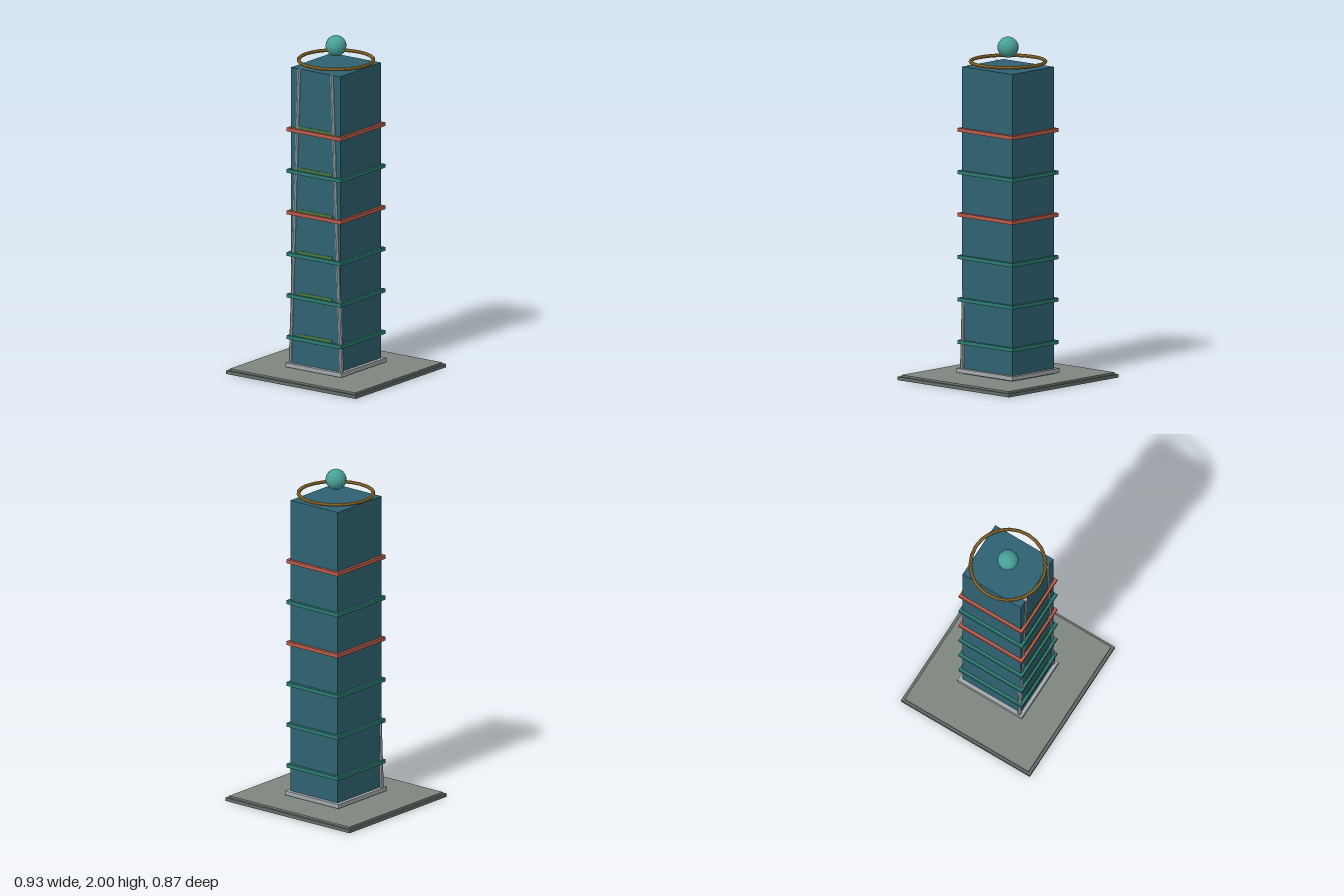
import * as THREE from 'three';

export function createModel() {
  const model = new THREE.Group();
  const mat = (color) => new THREE.MeshStandardMaterial({ color, flatShading: true });
  const stone = mat(0x7f8680), darkStone = mat(0x646c68), metal = mat(0xa3a8aa);
  const glass = mat(0x2f6272), teal = mat(0x2a7a70), red = mat(0xb85a48);
  const green = mat(0x4a7c40), gold = mat(0xa57d35), orb = mat(0x48a097);

  const add = (name, geometry, material, x, y, z) => {
    const mesh = new THREE.Mesh(geometry, material);
    mesh.name = name;
    mesh.position.set(x, y, z);
    model.add(mesh);
    return mesh;
  };
  // Box centred in plan at z, spanning heights y0 to y1
  const box = (name, w, d, y0, y1, material, z = 0) =>
    add(name, new THREE.BoxGeometry(w, y1 - y0, d), material, 0, (y0 + y1) / 2, z);

  // Stepped ground slab, plinth and shaft
  box('baseSlab', 0.93, 0.874, 0, 0.02, darkStone);
  box('pavement', 0.9, 0.84, 0.02, 0.03, stone);
  box('plinth', 0.4, 0.438, 0.037, 0.062, metal);
  box('towerShaft', 0.354, 0.394, 0.03, 1.824, glass);

  // Floor bands, each with a planted strip on the front
  for (let i = 0; i < 6; i++) {
    const y = 0.215 + i * 0.248;
    box('floorBand', 0.388, 0.43, y - 0.011, y + 0.011, i === 3 || i === 5 ? red : teal);
    box('planterStrip', 0.24, 0.012, y + 0.008, y + 0.027, green, 0.195);
  }

  // Slender ribs leaning inward up the front
  const up = new THREE.Vector3(0, 1, 0);
  for (const side of [-1, 1]) {
    const foot = new THREE.Vector3(side * 0.183, 0.035, 0.192);
    const head = new THREE.Vector3(side * 0.117, 1.826, 0.192);
    const dir = head.clone().sub(foot);
    const mid = foot.clone().add(head).multiplyScalar(0.5);
    const rib = add('frontRib', new THREE.CylinderGeometry(0.012, 0.012, dir.length(), 8), metal, mid.x, mid.y, mid.z);
    rib.quaternion.setFromUnitVectors(up, dir.normalize());
  }

  // Floating halo ring and orb above the roof
  const ring = add('haloRing', new THREE.TorusGeometry(0.217, 0.0105, 8, 24), gold, 0, 1.855, 0);
  ring.rotation.x = Math.PI / 2;
  add('crownOrb', new THREE.SphereGeometry(0.061, 16, 12), orb, 0, 1.939, 0);

  return model;
}
